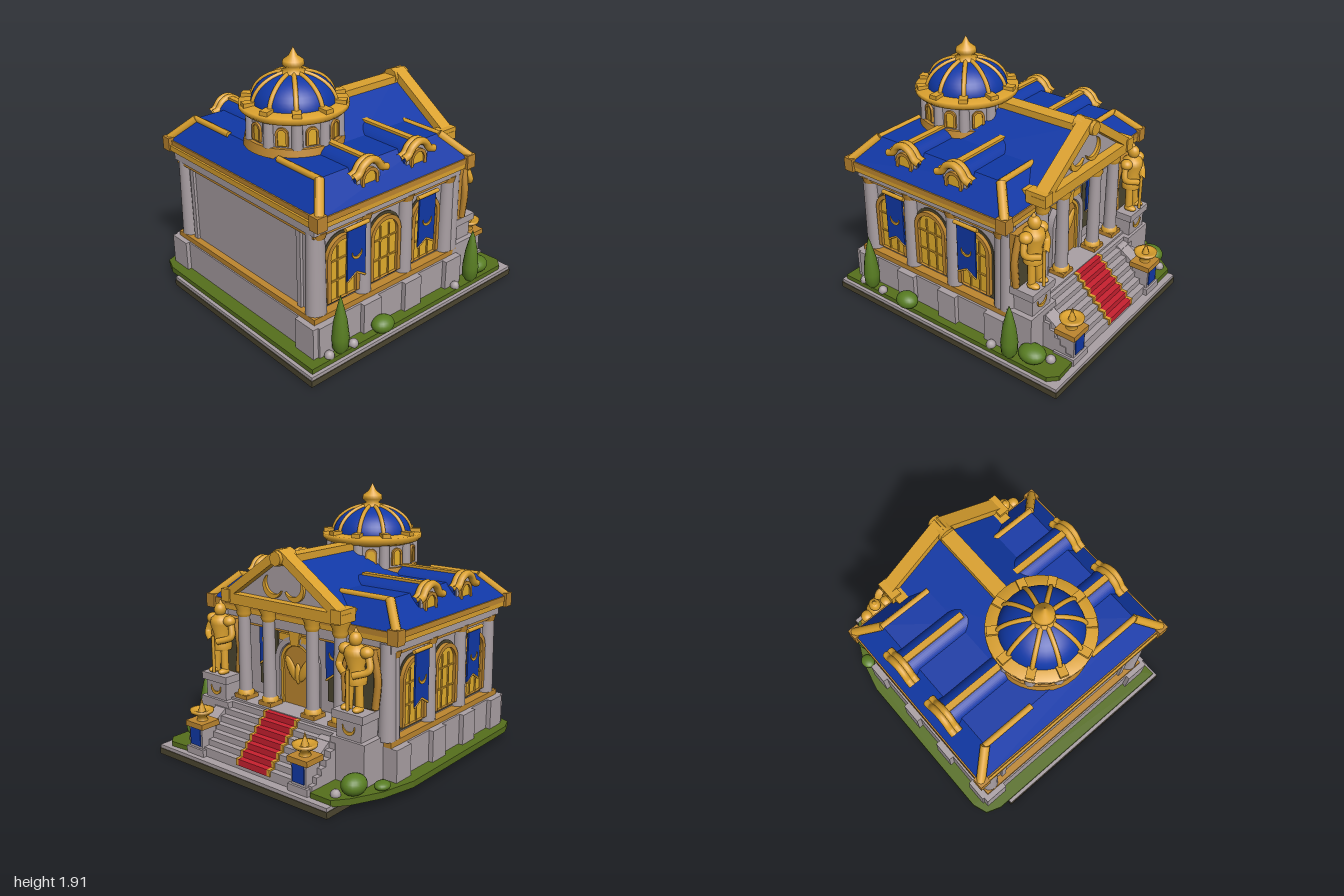
import * as THREE from 'three';

const mat = (name, color) => Object.assign(new THREE.MeshStandardMaterial({ color }), { name });
const stone = mat('stone', 0xaaa0a4), gold = mat('gold', 0xdba12e), bronze = mat('bronze', 0xbd862f);
const glass = mat('amberGlass', 0xe3ae2c), blue = mat('blue', 0x1038a6), red = mat('red', 0xc8202f);
const grass = mat('grass', 0x566f1c), leaf = mat('leaf', 0x587d22), dark = mat('darkEarth', 0x4c4630);
const V = (x, y, z) => new THREE.Vector3(x, y, z);

function add(parent, name, geo, m, x = 0, y = 0, z = 0) {
  const mesh = new THREE.Mesh(geo, m);
  mesh.name = name;
  mesh.position.set(x, y, z);
  parent.add(mesh);
  return mesh;
}
function group(parent, name, x = 0, y = 0, z = 0, turn = 0) {
  const g = new THREE.Group();
  g.name = name;
  g.position.set(x, y, z);
  g.rotation.y = turn;
  parent.add(g);
  return g;
}
// box given by its min and max on each axis
const box = (p, name, m, x0, x1, y0, y1, z0, z1) =>
  add(p, name, new THREE.BoxGeometry(x1 - x0, y1 - y0, z1 - z0), m, (x0 + x1) / 2, (y0 + y1) / 2, (z0 + z1) / 2);
const cyl = (p, name, m, r0, r1, y0, y1, x, z, n = 20) =>
  add(p, name, new THREE.CylinderGeometry(r1, r0, y1 - y0, n), m, x, (y0 + y1) / 2, z);
const ball = (p, name, m, rx, ry, rz, x, y, z) => {
  const b = add(p, name, new THREE.SphereGeometry(1, 20, 14), m, x, y, z);
  b.scale.set(rx, ry, rz);
  return b;
};
function rod(p, name, m, a, b, r, n = 8) {
  const d = b.clone().sub(a), c = a.clone().add(b).multiplyScalar(0.5);
  const mesh = add(p, name, new THREE.CylinderGeometry(r, r, d.length(), n), m, c.x, c.y, c.z);
  mesh.quaternion.setFromUnitVectors(V(0, 1, 0), d.normalize());
  return mesh;
}
const tube = (p, name, m, pts, r, seg = 24) =>
  add(p, name, new THREE.TubeGeometry(new THREE.CatmullRomCurve3(pts), seg, r, 8), m);
const lathe = (p, name, m, pts, x, z, n = 24) =>
  add(p, name, new THREE.LatheGeometry(pts.map(q => new THREE.Vector2(...q)), n), m, x, 0, z);
const extrude = (shape, depth) => new THREE.ExtrudeGeometry(shape, { depth, bevelEnabled: false, curveSegments: 14 });
const poly = pts => new THREE.Shape(pts.map(q => new THREE.Vector2(...q)));

// round-headed opening standing on y = 0
function arch(w, h, Type = THREE.Shape) {
  const s = new Type(), r = w / 2;
  s.moveTo(-r, 0);
  s.lineTo(r, 0);
  s.lineTo(r, h - r);
  s.absarc(0, h - r, r, 0, Math.PI, false);
  s.lineTo(-r, 0);
  return s;
}
function archFrame(w, h, t) {
  const s = arch(w + 2 * t, h + t);
  s.holes.push(arch(w, h, THREE.Path));
  return s;
}
function crescent(r) {
  const s = new THREE.Shape();
  s.absarc(0, 0, r, Math.PI * 0.9, Math.PI * 2.1, false);
  s.absarc(0, r * 0.4, r * 0.95, -0.1, Math.PI * 1.1, true);
  return s;
}

// hanging cloth with emblem, facing +z
function banner(p, x, top, w, h, z) {
  const g = group(p, 'banner', x, top, z), a = w / 2;
  add(g, 'bannerCloth', extrude(poly([[-a, 0], [-a, -h], [0, -h + 0.05], [a, -h], [a, 0]]), 0.012), blue);
  add(g, 'bannerEmblem', extrude(crescent(w * 0.27), 0.007), gold, 0, -h * 0.5, 0.012);
  rod(g, 'bannerRail', gold, V(-a - 0.02, 0, 0.01), V(a + 0.02, 0, 0.01), 0.015);
  for (const s of [-1, 1])
    rod(g, 'bannerHem', gold, V(s * a, -h, 0.008), V(0, -h + 0.05, 0.008), 0.008, 6);
}

// dormer facing +z
function dormer(p, x) {
  const g = group(p, 'dormer', x, 0, 0);
  add(g, 'dormerWall', extrude(arch(0.2, 0.24), 0.2), stone, 0, 1.09, 0.56);
  add(g, 'dormerRoof', extrude(arch(0.22, 0.15), 0.55), blue, 0, 1.18, 0.2);
  add(g, 'dormerWindowFrame', extrude(archFrame(0.1, 0.14, 0.022), 0.02), bronze, 0, 1.12, 0.76);
  add(g, 'dormerWindow', extrude(arch(0.1, 0.14), 0.008), glass, 0, 1.12, 0.76);
  const hood = [[-0.145, 1.245], [-0.1, 1.26], [-0.06, 1.31], [0, 1.335], [0.06, 1.31], [0.1, 1.26], [0.145, 1.245]];
  for (const z of [0.735, 0.775])
    tube(g, 'dormerHood', gold, hood.map(q => V(q[0], q[1], z)), 0.026);
  box(g, 'dormerRidge', gold, -0.023, 0.023, 1.3, 1.345, 0.22, 0.75);
}

// long side with three bays, facing +z; flip keeps both sides mirrored
function longSide(p, flip) {
  const g = group(p, 'longSide', 0, 0, 0, flip > 0 ? 0 : Math.PI);
  for (const x of [-0.58, -0.2, 0.19]) {
    add(g, 'windowRecess', extrude(arch(0.31, 0.51), 0.006), dark, x * flip, 0.38, 0.72);
    add(g, 'windowFrame', extrude(archFrame(0.22, 0.43, 0.03), 0.035), bronze, x * flip, 0.41, 0.72);
    add(g, 'windowPane', extrude(arch(0.22, 0.43), 0.012), glass, x * flip, 0.41, 0.72);
    for (const dx of [-0.04, 0.04])
      box(g, 'windowBar', gold, x * flip + dx - 0.005, x * flip + dx + 0.005, 0.41, 0.8, 0.73, 0.742);
    for (const y of [0.55, 0.7])
      box(g, 'windowBar', gold, x * flip - 0.11, x * flip + 0.11, y - 0.005, y + 0.005, 0.73, 0.742);
  }
  for (const x of [-0.78, -0.39, 0, 0.42]) {
    const c = x * flip;
    cyl(g, 'pilaster', stone, 0.06, 0.05, 0.37, 0.94, c, 0.725);
    cyl(g, 'pilasterCapital', bronze, 0.055, 0.065, 0.92, 0.965, c, 0.725);
    box(g, 'pilasterFoot', stone, c - 0.08, c + 0.08, 0.1, 0.33, 0.7, 0.835);
  }
  banner(g, -0.5 * flip, 0.92, 0.16, 0.39, 0.775);
  banner(g, 0.16 * flip, 0.92, 0.16, 0.39, 0.775);
  dormer(g, -0.38 * flip);
  dormer(g, 0.06 * flip);
}

// armoured guard on a pedestal, facing +z
function guard(p, x) {
  const g = group(p, 'guardStatue', x, 0, 0.61);
  box(g, 'pedestal', stone, -0.14, 0.14, 0.08, 0.4, -0.15, 0.09);
  box(g, 'pedestalBlock', stone, -0.1, 0.1, 0.4, 0.54, -0.12, 0.07);
  box(g, 'pedestalCap', stone, -0.125, 0.125, 0.53, 0.585, -0.13, 0.09);
  add(g, 'pedestalEmblem', extrude(crescent(0.05), 0.009), gold, 0, 0.48, 0.07);
  for (const s of [-1, 1]) {
    rod(g, 'leg', gold, V(s * 0.045, 0.59, 0.02), V(s * 0.035, 0.8, 0.01), 0.028, 12);
    ball(g, 'foot', gold, 0.03, 0.022, 0.05, s * 0.048, 0.605, 0.035);
    ball(g, 'shoulder', gold, 0.045, 0.04, 0.045, s * 0.085, 0.975, 0);
    tube(g, 'arm', gold, [V(s * 0.1, 0.96, 0), V(s * 0.12, 0.87, 0.02), V(s * 0.03, 0.83, 0.075)], 0.024);
    tube(g, 'capeEdge', bronze, [V(s * 0.1, 0.99, -0.04), V(s * 0.135, 0.8, -0.05), V(s * 0.12, 0.6, -0.05)], 0.025);
  }
  lathe(g, 'armour', gold, [[0.07, 0.76], [0.075, 0.8], [0.055, 0.87], [0.08, 0.95], [0.07, 0.99], [0.03, 1.02], [0, 1.03]], 0, 0);
  ball(g, 'helmet', gold, 0.042, 0.05, 0.045, 0, 1.05, 0.005);
  cyl(g, 'helmetCrest', gold, 0.025, 0, 1.08, 1.13, 0, 0, 10);
  rod(g, 'sword', gold, V(0, 0.6, 0.085), V(0, 0.87, 0.085), 0.012);
  box(g, 'cape', bronze, -0.12, 0.12, 0.58, 0.99, -0.1, -0.045);
  box(g, 'capeLining', dark, -0.11, 0.11, 0.59, 0.9, -0.045, -0.038);
}

// entrance end, facing +z of its own group
function entrance(p) {
  const g = group(p, 'entrance', 0, 0, 0, Math.PI / 2);
  box(g, 'porchFloor', stone, -0.52, 0.52, 0.1, 0.415, 0.38, 0.63);
  for (const x of [-0.44, -0.2, 0.2, 0.44]) {
    box(g, 'columnPlinth', bronze, x - 0.06, x + 0.06, 0.41, 0.445, 0.49, 0.61);
    lathe(g, 'columnBase', gold, [[0.06, 0.44], [0.06, 0.465], [0.045, 0.48]], x, 0.55);
    cyl(g, 'columnShaft', stone, 0.048, 0.042, 0.47, 1.04, x, 0.55);
    lathe(g, 'columnCapital', gold, [[0.043, 1.02], [0.055, 1.045], [0.05, 1.065], [0.07, 1.11], [0.07, 1.13]], x, 0.55);
  }
  // door
  add(g, 'doorSurround', extrude(archFrame(0.3, 0.47, 0.04), 0.05), stone, -0.02, 0.41, 0.43);
  add(g, 'door', extrude(arch(0.3, 0.47), 0.02), bronze, -0.02, 0.41, 0.43);
  add(g, 'doorTrim', extrude(archFrame(0.26, 0.44, 0.022), 0.035), gold, -0.02, 0.41, 0.43);
  add(g, 'doorKeystone', extrude(poly([[-0.035, 0], [0.035, 0], [0.055, 0.12], [-0.055, 0.12]]), 0.06), gold, -0.02, 0.86, 0.43);
  for (const s of [-1, 1]) {
    box(g, 'doorHood', gold, -0.02 + s * 0.1 - 0.05, -0.02 + s * 0.1 + 0.05, 0.88, 0.93, 0.43, 0.48);
    const wing = add(g, 'doorWing', new THREE.SphereGeometry(1, 14, 10), gold, -0.02 + s * 0.06, 0.68, 0.455);
    wing.scale.set(0.035, 0.095, 0.015);
    wing.rotation.z = -s * 0.5;
    add(g, 'wallRecess', extrude(arch(0.18, 0.55), 0.008), dark, s * 0.32, 0.5, 0.42);
    banner(g, s * 0.31, 1.04, 0.14, 0.38, 0.45);
    guard(g, s * 0.615);
    cyl(g, 'cornerColumn', stone, 0.06, 0.05, 0.37, 1.02, s * 0.73 + 0.03, 0.47);
  }
  ball(g, 'doorBird', gold, 0.025, 0.075, 0.018, -0.02, 0.65, 0.455);
  // pediment and its roof
  add(g, 'gableRoof', extrude(poly([[-0.5, 1.15], [0.5, 1.15], [0, 1.49]]), 1.0), [stone, blue], -0.015, 0, -0.42);
  box(g, 'pedimentBeam', gold, -0.53, 0.5, 1.12, 1.195, 0.42, 0.645);
  for (const s of [-1, 1]) {
    const rake = add(g, 'pedimentRake', new THREE.BoxGeometry(0.64, 0.06, 0.1), gold, -0.015 + s * 0.26, 1.345, 0.595);
    rake.rotation.z = -s * 0.6;
    const laurel = add(g, 'pedimentLaurel', extrude(crescent(0.085), 0.02), gold, -0.015 + s * 0.1, 1.285, 0.58);
    laurel.rotation.z = s * 0.6;
    box(g, 'pedimentEnd', gold, -0.015 + s * 0.5 - 0.04, -0.015 + s * 0.5 + 0.04, 1.13, 1.22, 0.5, 0.655);
  }
  box(g, 'ridgeBeam', gold, -0.07, 0.04, 1.455, 1.505, -0.1, 0.62);
  cyl(g, 'ridgeEnd', gold, 0.065, 0.05, 0, 0.15, 0, 0, 8).rotation.x = Math.PI / 2;
  g.children.at(-1).position.set(-0.015, 1.49, 0.595);
  // steps with runner
  for (let i = 0; i < 7; i++) {
    const y = 0.4 - i * 0.044, z = 0.66 + i * 0.045;
    box(g, 'step', stone, -0.62, 0.52, 0.06, y, 0.5, z);
    box(g, 'runner', red, -0.135, 0.135, y - 0.038, y + 0.009, z - 0.05, z + 0.009);
    for (const s of [-1, 1])
      box(g, 'runnerEdge', gold, s * 0.145 - 0.012, s * 0.145 + 0.012, y - 0.038, y + 0.01, z - 0.05, z + 0.01);
  }
  // braziers on small plinths
  for (const x of [-0.55, 0.42]) {
    const b = group(g, 'brazier', x, 0, 0.88);
    box(b, 'brazierPlinth', stone, -0.065, 0.065, 0.06, 0.29, -0.065, 0.065);
    box(b, 'brazierFoot', stone, -0.085, 0.085, 0.06, 0.12, -0.085, 0.08);
    box(b, 'brazierPlaque', blue, -0.05, 0.05, 0.14, 0.265, 0.065, 0.072);
    box(b, 'brazierCap', bronze, -0.085, 0.085, 0.27, 0.31, -0.08, 0.08);
    lathe(b, 'brazierBowl', gold, [[0.04, 0.31], [0.03, 0.335], [0.08, 0.37], [0.085, 0.39], [0.065, 0.39], [0, 0.365]], 0, 0);
    cyl(b, 'brazierFlame', gold, 0.03, 0, 0.365, 0.47, 0, 0, 8);
    const cheek = add(g, 'stairCheek', extrude(poly([[0.6, 0.08], [0.86, 0.08], [0.86, 0.25], [0.68, 0.37], [0.6, 0.37]]), 0.1), stone, x + 0.05);
    cheek.rotation.y = -Math.PI / 2;
  }
}

function dome(p) {
  const g = group(p, 'dome', -0.41, 0, 0.04);
  cyl(g, 'drum', stone, 0.31, 0.31, 1.2, 1.51, 0, 0, 40);
  cyl(g, 'drumBase', bronze, 0.35, 0.335, 1.26, 1.325, 0, 0, 40);
  lathe(g, 'domeCornice', gold, [[0.31, 1.48], [0.35, 1.495], [0.37, 1.515], [0.37, 1.545], [0.28, 1.555]], 0, 0, 40);
  const shell = [], n = 12;
  for (let i = 0; i <= n; i++) {
    const a = i / n * Math.PI / 2;
    shell.push([Math.max(0, 0.29 * Math.cos(a)), 1.535 + 0.21 * Math.sin(a)]);
  }
  lathe(g, 'domeShell', blue, shell, 0, 0, 40);
  for (let i = 0; i < 10; i++) {
    const bay = group(g, 'domeBay', 0, 0, 0, i / 10 * Math.PI * 2);
    tube(bay, 'domeRib', gold, shell.map(q => V(0, q[1], q[0])), 0.016);
    box(bay, 'domeRibFoot', gold, -0.03, 0.03, 1.53, 1.575, 0.275, 0.36);
    cyl(bay, 'drumPilaster', stone, 0.04, 0.036, 1.32, 1.49, 0, 0.305, 12);
    const w = group(bay, 'drumBay', 0, 0, 0, Math.PI / 10);
    add(w, 'drumWindowFrame', extrude(archFrame(0.055, 0.11, 0.016), 0.03), bronze, 0, 1.34, 0.295);
    add(w, 'drumWindow', extrude(arch(0.055, 0.11), 0.015), glass, 0, 1.34, 0.3);
  }
  lathe(g, 'finial', gold, [[0.085, 1.72], [0.08, 1.75], [0.045, 1.765], [0.075, 1.79], [0.07, 1.82], [0.03, 1.85], [0, 1.91]], 0, 0);
}

function hall(p) {
  const g = group(p, 'hall', 0, 0, -0.03);
  box(g, 'foundation', stone, -0.87, 0.5, 0.08, 0.33, -0.8, 0.8);
  box(g, 'foundationBand', bronze, -0.86, 0.5, 0.325, 0.37, -0.785, 0.785);
  box(g, 'walls', stone, -0.81, 0.42, 0.36, 1.05, -0.72, 0.72);
  box(g, 'wallBand', bronze, -0.84, 0.47, 0.935, 0.965, -0.765, 0.765);
  box(g, 'frieze', stone, -0.85, 0.5, 0.96, 1.05, -0.78, 0.78);
  box(g, 'lowerCornice', gold, -0.88, 0.53, 1.035, 1.075, -0.84, 0.84);
  box(g, 'upperCornice', bronze, -0.865, 0.535, 1.07, 1.11, -0.845, 0.845);
  // plain rear wall framed by corner columns
  for (const s of [-1, 1]) {
    cyl(g, 'rearCornerColumn', stone, 0.065, 0.055, 0.37, 0.98, -0.795, s * 0.715);
    box(g, 'rearFoot', stone, -0.9, -0.75, 0.08, 0.33, s * 0.73 - 0.09, s * 0.73 + 0.09);
    box(g, 'rearPanelEdge', stone, -0.83, -0.8, 0.37, 0.95, s * 0.6 - 0.02, s * 0.6 + 0.02);
  }
  // hipped lower roof with flat deck
  const hip = new THREE.BoxGeometry(1.39, 0.17, 1.68), pos = hip.attributes.position;
  for (let i = 0; i < pos.count; i++)
    if (pos.getY(i) > 0) pos.setXYZ(i, pos.getX(i) * 0.78, pos.getY(i), pos.getZ(i) * 0.8);
  hip.computeVertexNormals();
  add(g, 'hippedRoof', hip, blue, -0.165, 1.19, 0);
  for (const s of [-1, 1]) {
    rod(g, 'hipRib', gold, V(-0.85, 1.11, s * 0.83), V(-0.71, 1.27, s * 0.67), 0.032);
    rod(g, 'hipRib', gold, V(0.52, 1.11, s * 0.83), V(0.37, 1.27, s * 0.67), 0.032);
    for (const x of [-0.71, 0.37]) rod(g, 'deckRib', gold, V(x, 1.27, s * 0.68), V(x, 1.27, s * 0.27), 0.022);
    for (const x of [-0.85, 0.51]) box(g, 'corniceCorner', bronze, x - 0.04, x + 0.04, 1.03, 1.13, s * 0.82 - 0.04, s * 0.82 + 0.04);
    longSide(g, s);
  }
}

function grounds(p) {
  box(p, 'slabBase', dark, -1, 1, 0, 0.045, -0.7, 0.89);
  box(p, 'slabTop', stone, -0.995, 0.995, 0.045, 0.07, -0.695, 0.885);
  const lawn = poly([[-0.97, -0.86], [0.9, -0.86], [0.96, -0.8], [0.95, -0.64], [0.6, -0.6], [0.6, 0.5], [0.95, 0.52],
    [0.95, 0.69], [0.85, 0.77], [0.65, 0.87], [0.4, 0.93], [-0.82, 0.93], [-0.93, 0.89], [-0.97, 0.78]]);
  add(p, 'lawn', extrude(lawn, 0.045), grass, 0, 0.06, 0).rotation.x = -Math.PI / 2;
  for (const [x, h] of [[-0.71, 0.54], [0.58, 0.52]])
    lathe(p, 'cypress', leaf, [[0.02, 0.09], [0.055, 0.14], [0.06, 0.22], [0.045, 0.35], [0.02, 0.46], [0, h]], x, 0.835, 14);
  for (const [x, z, r, h] of [[-0.34, 0.85, 0.085, 0.06], [0.72, 0.77, 0.1, 0.06], [0.77, -0.73, 0.095, 0.07], [0.62, -0.84, 0.06, 0.03]])
    ball(p, 'bush', leaf, r, h, r * 0.85, x, 0.11 + h * 0.7, z);
  for (const [x, z] of [[-0.8, 0.83], [0.83, 0.71], [0.88, -0.67], [0.42, 0.83], [-0.6, 0.84]])
    add(p, 'rock', new THREE.IcosahedronGeometry(0.035, 1), stone, x, 0.115, z);
}

export function createModel() {
  const model = new THREE.Group();
  model.name = 'domedHall';
  grounds(model);
  hall(model);
  entrance(model);
  dome(model);
  return model;
}
